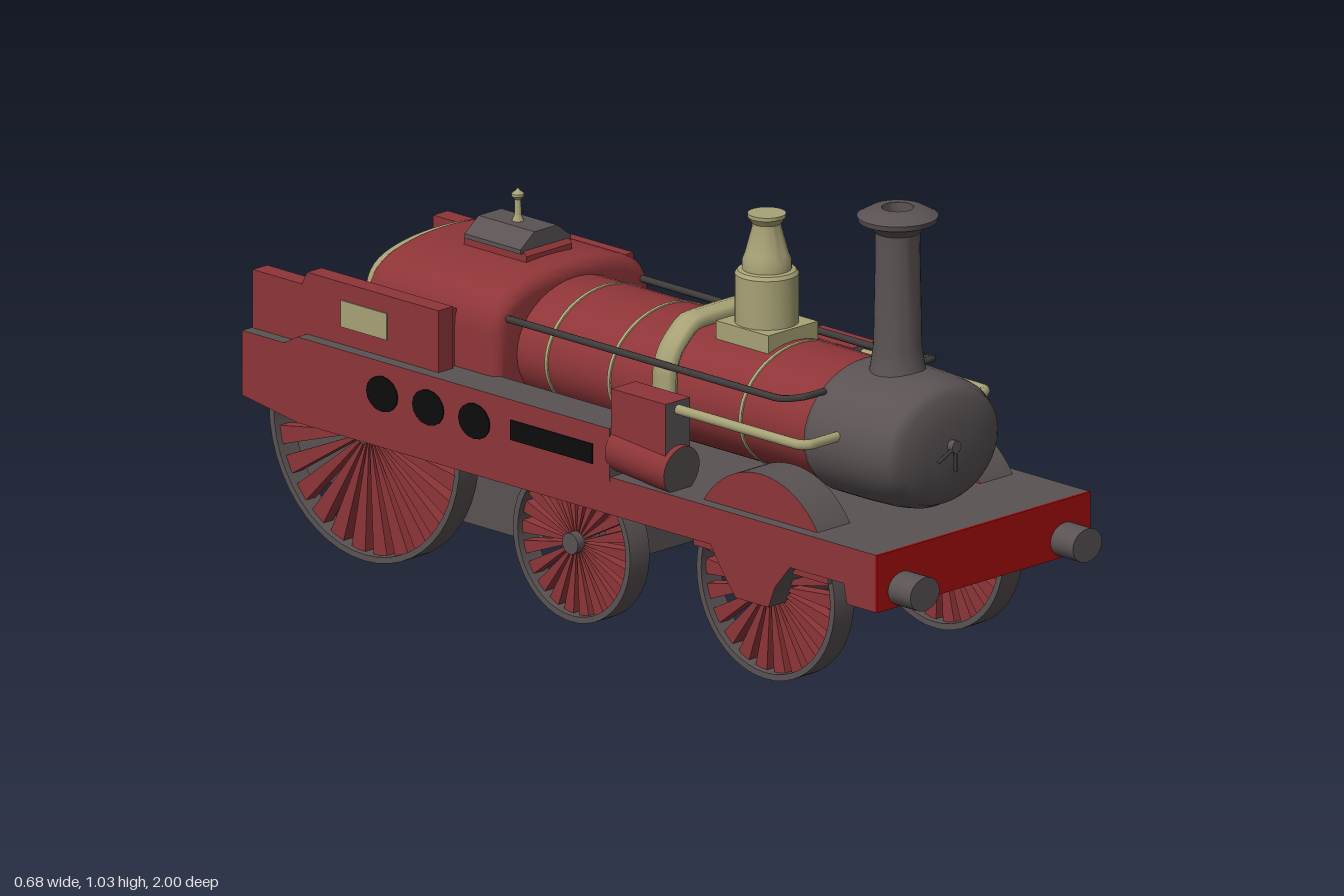
import * as THREE from 'three';
import { toCreasedNormals } from 'three/addons/utils/BufferGeometryUtils.js';

const mat = (name, color, side = THREE.FrontSide) => {
  const m = new THREE.MeshStandardMaterial({ color, side });
  m.name = name;
  return m;
};

export function createModel() {
  const model = new THREE.Group();
  model.name = 'steamLocomotive';
  const red = mat('crimson', 0x8e3538), grey = mat('ironGrey', 0x5a5253);
  const beige = mat('paleBrass', 0xa7a276, THREE.DoubleSide), scarlet = mat('scarlet', 0xa80d0d);
  const black = mat('black', 0x0c0c0c), dark = mat('darkSteel', 0x403c3c);

  const add = (name, geo, material, x = 0, y = 0, z = 0, parent = model) => {
    const m = new THREE.Mesh(geo, material);
    m.name = name;
    m.position.set(x, y, z);
    parent.add(m);
    return m;
  };
  const box = (name, material, x0, x1, y0, y1, z0, z1) =>
    add(name, new THREE.BoxGeometry(x1 - x0, y1 - y0, z1 - z0), material,
      (x0 + x1) / 2, (y0 + y1) / 2, (z0 + z1) / 2);
  const polygon = (pts) => new THREE.Shape(pts.map(([a, b]) => new THREE.Vector2(a, b)));
  // Side outline in (z, y), extruded across the width from x0 to x1
  const across = (name, shape, x0, x1, material) => {
    const g = new THREE.ExtrudeGeometry(shape, { depth: x1 - x0, bevelEnabled: false, curveSegments: 20 });
    g.rotateY(-Math.PI / 2);
    return add(name, toCreasedNormals(g, 0.5), material, x1);
  };
  const lathe = (pts, segments = 32) =>
    toCreasedNormals(new THREE.LatheGeometry(pts.map(([r, y]) => new THREE.Vector2(r, y)), segments), 0.6);
  const tube = (name, pts, r, material, tension = 0.1) => {
    const curve = new THREE.CatmullRomCurve3(pts.map((p) => new THREE.Vector3(...p)), false, 'catmullrom', tension);
    return add(name, new THREE.TubeGeometry(curve, 48, r, 8), material);
  };
  const halfDisc = (z, y, r) => {
    const s = new THREE.Shape();
    s.absarc(z, y, r, 0, Math.PI, false);
    return s;
  };

  // Frame with grey deck and red flanks, bright front beam
  across('frame', polygon([[0.925, 0.24], [0.925, 0.37], [-0.995, 0.37], [-0.995, 0.31], [-0.83, 0.285],
    [0.83, 0.285], [0.84, 0.24]]), -0.328, 0.328, [red, grey]);
  box('bufferBeam', scarlet, -0.328, 0.328, 0.24, 0.37, 0.925, 0.932);
  box('rearBeam', red, -0.328, 0.328, 0.31, 0.37, -1, -0.994);
  box('tank', grey, -0.21, 0.21, 0.12, 0.3, -0.99, -0.2);

  // Axle guards
  across('frontAxleGuard', polygon([[0.67, 0.29], [0.62, 0.23], [0.6, 0.18], [0.5, 0.18], [0.46, 0.23],
    [0.42, 0.29]]), -0.327, 0.327, [red, grey]);
  across('middleAxleGuard', polygon([[0.1, 0.29], [0.1, 0.16], [-0.12, 0.16], [-0.12, 0.29]]), -0.2, 0.2, [red, grey]);

  // Spoked wheels: thin tyre, wedge spokes and hub
  const wheel = (name, x, z, r, spokes) => {
    const g = new THREE.Group();
    g.name = name;
    g.position.set(x, r, z);
    g.rotation.y = Math.PI / 2;
    model.add(g);
    const ring = new THREE.Shape();
    ring.absarc(0, 0, r, 0, Math.PI * 2, false);
    const hole = new THREE.Path();
    hole.absarc(0, 0, r - 0.014, 0, Math.PI * 2, true);
    ring.holes.push(hole);
    const tyre = new THREE.ExtrudeGeometry(ring, { depth: 0.06, bevelEnabled: false, curveSegments: 24 });
    add('tyre', toCreasedNormals(tyre, 0.5), grey, 0, 0, -0.03, g);
    const wedges = [];
    for (let i = 0; i < spokes; i++) {
      const a = (i / spokes) * Math.PI * 2, h = 0.62 / spokes * Math.PI, R = r - 0.011;
      wedges.push(polygon([[0.02 * Math.cos(a - h), 0.02 * Math.sin(a - h)], [R * Math.cos(a - h), R * Math.sin(a - h)],
        [R * Math.cos(a + h), R * Math.sin(a + h)], [0.02 * Math.cos(a + h), 0.02 * Math.sin(a + h)]]));
    }
    add('spokes', new THREE.ExtrudeGeometry(wedges, { depth: 0.03, bevelEnabled: false }), red, 0, 0, -0.015, g);
    const hub = add('hub', new THREE.CylinderGeometry(0.024, 0.024, 0.07, 16), grey, 0, 0, 0, g);
    hub.rotation.x = Math.PI / 2;
  };
  for (const [n, z, r, k] of [['front', 0.555, 0.21, 22], ['middle', -0.035, 0.178, 22], ['rear', -0.665, 0.29, 26]]) {
    wheel(n + 'WheelLeft', 0.26, z, r, k);
    wheel(n + 'WheelRight', -0.26, z, r, k);
    const axle = add(n + 'Axle', new THREE.CylinderGeometry(0.016, 0.016, 0.56, 12), grey, 0, r, z);
    axle.rotation.z = Math.PI / 2;
  }

  // Parts mirrored on both sides
  for (const s of [1, -1]) {
    const tag = s > 0 ? 'Left' : 'Right';
    const span = (a, b) => (s > 0 ? [a, b] : [-b, -a]);
    across('frontSplasher' + tag, halfDisc(0.55, 0.26, 0.205), ...span(0.2, 0.3), [red, grey]);
    across('rearSplasher' + tag, halfDisc(-0.665, 0.29, 0.27), ...span(0.2, 0.25), grey);
    across('sideBox' + tag, polygon([[0.12, 0.36], [0.12, 0.48], [-0.83, 0.48], [-0.87, 0.458], [-0.998, 0.458],
      [-0.998, 0.36]]), ...span(0.225, 0.33), [red, grey]);
    across('cabPanel' + tag, polygon([[-0.43, 0.45], [-0.43, 0.62], [-0.83, 0.62], [-0.845, 0.59], [-0.995, 0.59],
      [-0.995, 0.45]]), ...span(0.255, 0.3), red);
    box('cabInnerPanel' + tag, red, ...span(0.235, 0.256), 0.45, 0.61, -0.83, -0.44);
    box('cabWindow' + tag, beige, ...span(0.299, 0.303), 0.52, 0.58, -0.725, -0.585);
    for (const z of [-0.29, -0.43, -0.57]) {
      const port = add('ovalOpening' + tag, new THREE.CylinderGeometry(0.04, 0.04, 0.005, 16), black, s * 0.331, 0.408, z);
      port.rotation.z = Math.PI / 2;
      port.scale.z = 1.18;
    }
    // Inclined cylinder with valve chest above
    const cyl = add('pistonCylinder' + tag, new THREE.CylinderGeometry(0.055, 0.055, 0.18, 24), [red, grey, grey],
      s * 0.285, 0.422, 0.205);
    cyl.rotation.x = Math.PI / 2 + 0.09;
    box('valveChest' + tag, [red, red, red, grey, grey, grey], ...span(0.25, 0.325), 0.42, 0.57, 0.12, 0.285);
    // Feed pipe, handrail and buffer
    tube('feedPipe' + tag, [[s * 0.285, 0.55, 0.27], [s * 0.285, 0.55, 0.62], [s * 0.283, 0.55, 0.655],
      [s * 0.265, 0.55, 0.668], [s * 0.15, 0.55, 0.668]], 0.012, beige);
    tube('handrail' + tag, [[s * 0.14, 0.625, 0.585], [s * 0.195, 0.625, 0.585], [s * 0.206, 0.62, 0.565],
      [s * 0.206, 0.607, 0.5], [s * 0.206, 0.607, -0.33]], 0.008, dark);
    const buffer = add('buffer' + tag, new THREE.CylinderGeometry(0.045, 0.045, 0.075, 24), grey, s * 0.25, 0.28, 0.9625);
    buffer.rotation.x = Math.PI / 2;
    buffer.scale.z = 0.84;
  }
  box('namePlate', black, -0.333, -0.329, 0.39, 0.435, -0.18, 0.07);

  // Oval boiler, bands and smokebox, turned about the long axis
  const barrel = (name, pts, material, sx, sy) => {
    const g = lathe(pts, 40);
    g.rotateX(Math.PI / 2);
    g.scale(sx, sy, 1);
    add(name, g, material, 0, 0.52);
  };
  barrel('boiler', [[1, -0.35], [1, 0.58]], red, 0.18, 0.137);
  for (const z of [0.37, -0.03, -0.22])
    barrel('boilerBand', [[1, z - 0.005], [1.015, z - 0.004], [1.015, z + 0.004], [1, z + 0.005]], beige, 0.18, 0.137);
  barrel('smokebox', [[0, 0.57], [0.98, 0.57], [1, 0.58], [1, 0.68], [0.985, 0.75], [0.95, 0.785], [0.88, 0.805],
    [0.87, 0.81], [0.75, 0.823], [0.4, 0.832], [0, 0.835]], grey, 0.192, 0.15);
  const pin = add('doorPin', new THREE.CylinderGeometry(0.014, 0.014, 0.02, 12), grey, 0, 0.525, 0.84);
  pin.rotation.x = Math.PI / 2;
  tube('doorHandle', [[0, 0.525, 0.846], [0, 0.47, 0.846]], 0.004, dark);
  tube('doorLever', [[0, 0.525, 0.846], [-0.055, 0.5, 0.846]], 0.004, dark);

  // Chimney
  add('chimney', lathe([[0.075, 0.63], [0.06, 0.67], [0.053, 0.72], [0.049, 0.94], [0.05, 0.975], [0.062, 0.99],
    [0.086, 1.0], [0.089, 1.012], [0.06, 1.028], [0.035, 1.03], [0.033, 0.97], [0, 0.97]]), grey, 0, 0, 0.67);

  // Steam dome on a square seat
  box('domeSeat', beige, -0.076, 0.076, 0.6, 0.685, 0.192, 0.352);
  add('dome', lathe([[0.07, 0.68], [0.07, 0.795], [0.064, 0.803], [0.054, 0.805], [0.054, 0.825], [0.048, 0.84],
    [0.032, 0.9], [0.032, 0.908], [0.042, 0.922], [0.042, 0.93], [0, 0.93]]), beige, 0, 0, 0.272);

  // Flattened pipe arching over the boiler
  const arch = tube('steamArch', [[-0.19, 0.37, 0], [-0.19, 0.585, 0], [-0.17, 0.635, 0], [-0.11, 0.683, 0],
    [0.11, 0.683, 0], [0.17, 0.635, 0], [0.19, 0.585, 0], [0.19, 0.37, 0]], 0.02, beige, 0.2);
  arch.position.z = 0.15;
  arch.scale.z = 1.7;

  // Firebox with rounded shoulders and pale backhead
  const fireboxShape = (w, top) => {
    const s = new THREE.Shape();
    s.moveTo(-w, 0.37);
    s.lineTo(w, 0.37);
    s.lineTo(w, top - 0.09);
    s.bezierCurveTo(w, top - 0.03, w - 0.05, top - 0.015, w - 0.13, top - 0.004);
    s.quadraticCurveTo(0, top + 0.004, -w + 0.13, top - 0.004);
    s.bezierCurveTo(-w + 0.05, top - 0.015, -w, top - 0.03, -w, top - 0.09);
    return s;
  };
  const rounded = (name, w, top, z0, z1, bevel, material) => {
    const g = new THREE.ExtrudeGeometry(fireboxShape(w - bevel, top - bevel), { depth: z1 - z0 - 2 * bevel,
      bevelSize: bevel, bevelThickness: bevel, bevelSegments: 4, curveSegments: 10 });
    add(name, toCreasedNormals(g, 0.7), material, 0, 0, z0 + bevel);
  };
  rounded('firebox', 0.24, 0.69, -0.72, -0.31, 0.03, red);
  rounded('backhead', 0.225, 0.682, -0.732, -0.66, 0.012, beige);

  // Roof hatch with finial
  across('hatchBase', polygon([[-0.39, 0.67], [-0.39, 0.7], [-0.41, 0.72], [-0.56, 0.72], [-0.58, 0.7], [-0.58, 0.67]]),
    -0.07, 0.07, red);
  const lid = new THREE.ExtrudeGeometry(polygon([[-0.078, 0.705], [0.078, 0.705], [0.078, 0.715], [0.035, 0.747],
    [-0.035, 0.747], [-0.078, 0.715]]), { depth: 0.17, bevelEnabled: false });
  add('hatchLid', lid, grey, 0, 0, -0.57);
  add('finial', lathe([[0.014, 0.745], [0.008, 0.76], [0.007, 0.795], [0.014, 0.802], [0.014, 0.808], [0.005, 0.815],
    [0, 0.822]], 12), beige, 0, 0, -0.485);

  return model;
}
